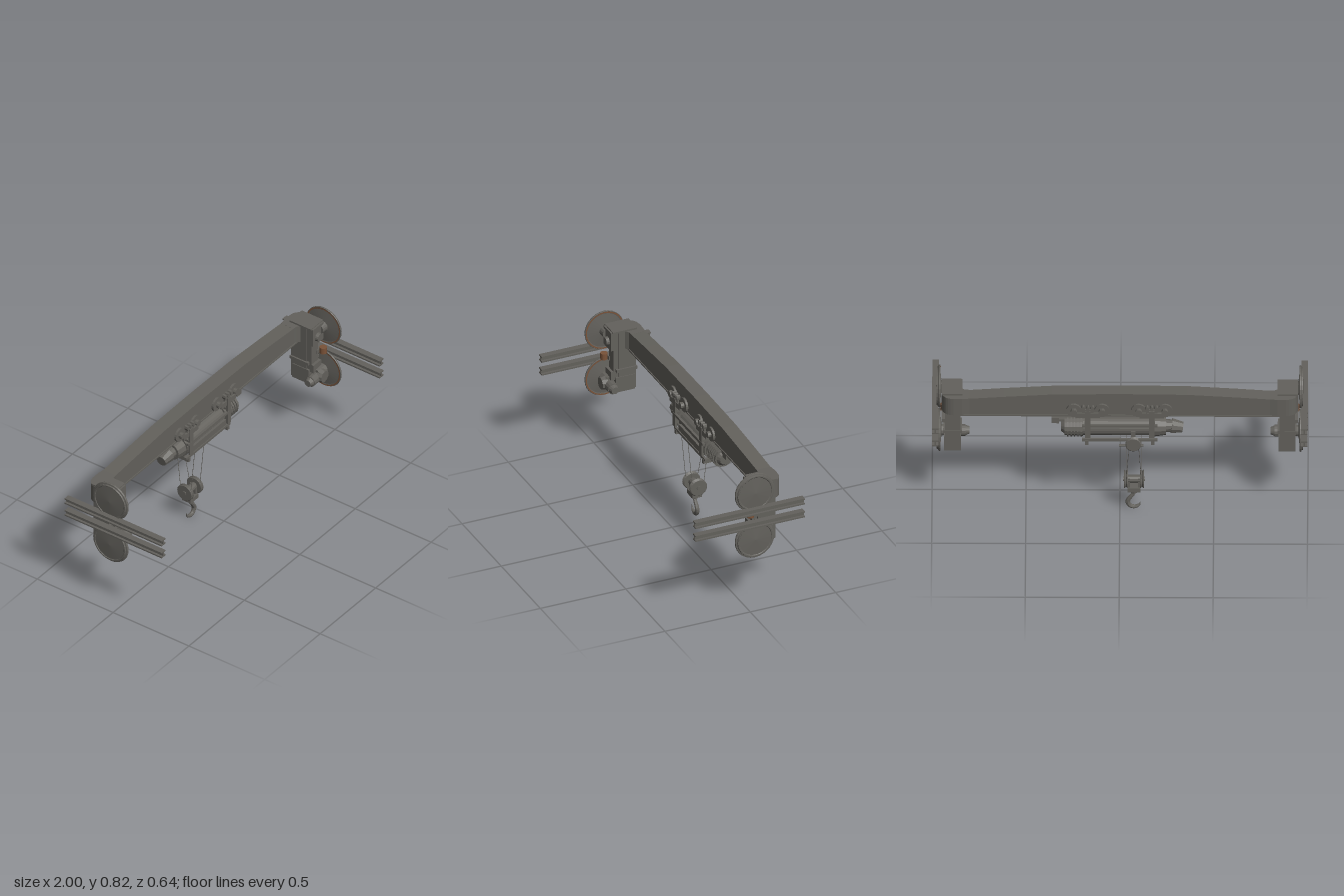
import * as THREE from 'three';

export function createModel() {
  const model = new THREE.Group();
  const mat = (name, color, side = THREE.FrontSide) => {
    const m = new THREE.MeshStandardMaterial({ color, side });
    m.name = name;
    m.flatShading = true;
    return m;
  };
  const steel = mat('weathered steel', 0x63615c);
  const rust = mat('rusty rim', 0x7a5238);

  const add = (parent, name, geo, x = 0, y = 0, z = 0, m = steel) => {
    const mesh = new THREE.Mesh(geo, m);
    mesh.name = name;
    mesh.position.set(x, y, z);
    parent.add(mesh);
    return mesh;
  };
  const box = (p, name, w, h, d, x, y, z, m) => add(p, name, new THREE.BoxGeometry(w, h, d), x, y, z, m);
  // Cylinder along a chosen axis; r2 is the radius at the positive end
  const cyl = (p, name, axis, r1, r2, len, x, y, z, n = 20, m = steel) => {
    const g = new THREE.CylinderGeometry(r2, r1, len, n);
    if (axis === 'x') g.rotateZ(-Math.PI / 2);
    if (axis === 'z') g.rotateX(Math.PI / 2);
    return add(p, name, g, x, y, z, m);
  };
  const lathe = (pts, n, axis) => {
    const g = new THREE.LatheGeometry(pts.map(p => new THREE.Vector2(...p)), n);
    if (axis === 'x') g.rotateZ(-Math.PI / 2);
    if (axis === 'z') g.rotateX(Math.PI / 2);
    return g;
  };
  const rod = (p, name, a, b, r) => {
    const path = new THREE.LineCurve3(new THREE.Vector3(...a), new THREE.Vector3(...b));
    return add(p, name, new THREE.TubeGeometry(path, 1, r, 5), 0, 0, 0);
  };
  const extrude = (shape, depth) => new THREE.ExtrudeGeometry(shape, { depth, bevelEnabled: false, curveSegments: 8 });

  // Main girder with a cambered top
  const side = new THREE.Shape();
  side.moveTo(-0.86, 0.635);
  side.lineTo(0.86, 0.635);
  side.lineTo(0.86, 0.735);
  side.lineTo(0.62, 0.752);
  side.lineTo(0.36, 0.768);
  side.lineTo(0, 0.772);
  side.lineTo(-0.36, 0.768);
  side.lineTo(-0.62, 0.752);
  side.lineTo(-0.86, 0.735);
  add(model, 'girder', extrude(side, 0.082), 0, 0, -0.21);
  box(model, 'girderBottomPlate', 1.7, 0.008, 0.092, 0, 0.634, -0.169);

  // Small I-section used by all four rails
  const railShape = new THREE.Shape();
  [[-0.0175, -0.018], [0.0175, -0.018], [0.0175, -0.01], [0.004, -0.01], [0.004, 0.01], [0.0175, 0.01],
    [0.0175, 0.018], [-0.0175, 0.018], [-0.0175, 0.01], [-0.004, 0.01], [-0.004, -0.01], [-0.0175, -0.01]]
    .forEach(([x, y], i) => (i ? railShape.lineTo(x, y) : railShape.moveTo(x, y)));

  // Plan outline of the curved girder end
  const bend = new THREE.Shape();
  bend.moveTo(0.84, 0.215);
  bend.lineTo(0.885, 0.215);
  bend.quadraticCurveTo(0.95, 0.21, 0.95, 0.14);
  bend.lineTo(0.95, 0.075);
  bend.lineTo(0.842, 0.075);
  bend.lineTo(0.842, 0.112);
  bend.lineTo(0.825, 0.126);
  bend.lineTo(0.80, 0.128);
  bend.lineTo(0.80, 0.21);

  // End carriages: built for the left side, turned into the right by mirrored x
  for (const s of [1, -1]) {
    const end = new THREE.Group();
    end.name = s > 0 ? 'leftEndCarriage' : 'rightEndCarriage';
    model.add(end);
    const bendGeo = extrude(bend, 0.105).rotateX(-Math.PI / 2);
    add(end, 'girderBend', bendGeo, 0, 0.635, 0);
    box(end, 'headBox', 0.095, 0.11, 0.05, 0.892, 0.69, -0.055);
    box(end, 'headCap', 0.11, 0.01, 0.14, 0.893, 0.745, -0.11);
    cyl(end, 'headBoss', 'z', 0.026, 0.022, 0.018, 0.885, 0.68, -0.022, 14);
    box(end, 'column', 0.082, 0.26, 0.1, 0.89, 0.51, -0.128);
    box(end, 'columnFoot', 0.09, 0.09, 0.11, 0.89, 0.42, -0.115);
    box(end, 'columnFrontPlate', 0.06, 0.13, 0.03, 0.885, 0.565, -0.065);
    box(end, 'columnCollar', 0.1, 0.018, 0.12, 0.89, 0.505, -0.122);

    // Domed flanged wheels above and below the rails
    for (const y of [0.706, 0.423]) {
      const w = [[0, -0.012], [0.03, -0.016], [0.1, -0.008], [0.113, -0.011], [0.115, -0.007],
        [0.113, 0], [0.105, 0.002], [0.103, 0.009], [0.096, 0.009], [0.093, 0.006], [0, 0.012]];
      add(end, 'railWheel', lathe(w, 28, 'x'), 0.966, y, -0.043);
      const ring = new THREE.RingGeometry(0.104, 0.111, 28).rotateY(-Math.PI / 2);
      add(end, 'wheelRustRing', ring, 0.954, y, -0.043, rust);
      cyl(end, 'wheelAxle', 'x', 0.028, 0.034, 0.05, 0.94, y, -0.043, 16);
    }

    // Travel drive on the lower wheel
    cyl(end, 'gearHousing', 'x', 0.042, 0.046, 0.06, 0.905, 0.423, -0.043, 12);
    cyl(end, 'driveMotor', 'x', 0.032, 0.032, 0.055, 0.85, 0.415, -0.035, 14);
    cyl(end, 'motorCap', 'x', 0.02, 0.028, 0.022, 0.812, 0.415, -0.035, 14);
    cyl(end, 'gearCover', 'z', 0.042, 0.034, 0.03, 0.9, 0.42, -0.008, 10);
    box(end, 'driveBracket', 0.07, 0.05, 0.05, 0.89, 0.475, -0.06);

    // Guide roller between the rails
    box(end, 'guideArm', 0.05, 0.022, 0.11, 0.925, 0.558, -0.1);
    cyl(end, 'guideRoller', 'y', 0.02, 0.02, 0.036, 0.935, 0.563, -0.03, 14, rust);

    for (const y of [0.604, 0.525]) {
      add(end, 'rail', extrude(railShape, 0.64), 0.9825, y, -0.32);
    }
    if (s < 0) mirrorX(end);
  }

  // Trolley: four wheels on each face of the girder, with hanger plates
  const trolley = new THREE.Group();
  trolley.name = 'trolley';
  model.add(trolley);
  for (const f of [1, -1]) {
    const z = d => -0.169 + f * d;
    for (const x of [-0.24, -0.1, 0.095, 0.245]) {
      cyl(trolley, 'trolleyWheel', 'z', 0.04, 0.04, 0.012, x, 0.674, z(0.052), 18);
      cyl(trolley, 'trolleyWheelHub', 'z', 0.018, 0.018, 0.03, x, 0.674, z(0.062), 10);
    }
    for (const x of [-0.17, 0.17]) {
      box(trolley, 'wheelYoke', 0.13, 0.03, 0.01, x, 0.655, z(0.072));
      box(trolley, 'hangerPlate', 0.03, 0.17, 0.012, x, 0.6, z(0.075));
      for (const i of [-1, 0, 1]) {
        const lug = cyl(trolley, 'hangerLug', 'z', 0.01, 0.01, 0.022, x + i * 0.025, 0.698, z(0.068), 8);
        lug.scale.y = 1.6;
      }
      box(trolley, 'lugStem', 0.06, 0.02, 0.01, x, 0.68, z(0.068));
    }
    box(trolley, 'sideBar', 0.4, 0.014, 0.014, 0, 0.59, z(0.075));
    box(trolley, 'lowerBar', 0.4, 0.014, 0.014, 0, 0.49, z(0.06));
  }

  // Hoist drum, gearbox and motor
  const hoist = new THREE.Group();
  hoist.name = 'hoist';
  model.add(hoist);
  const hy = 0.54, hz = -0.169;
  cyl(hoist, 'ropeDrum', 'x', 0.052, 0.052, 0.42, 0.02, hy, hz, 24);
  for (const x of [-0.175, 0.175]) {
    cyl(hoist, 'drumFlange', 'x', 0.064, 0.064, 0.016, x, hy, hz, 20);
    box(hoist, 'hangerCross', 0.024, 0.014, 0.15, x, 0.605, hz);
    box(hoist, 'hangerFoot', 0.018, 0.025, 0.14, x, 0.475, hz);
  }
  cyl(hoist, 'gearbox', 'x', 0.05, 0.058, 0.06, -0.215, hy, hz, 12);
  cyl(hoist, 'motorNeck', 'x', 0.032, 0.036, 0.05, -0.265, hy, hz, 12);
  const cap = cyl(hoist, 'endMotor', 'x', 0.03, 0.042, 0.06, -0.305, 0.535, hz, 10);
  cap.rotation.z = 0.15;
  cyl(hoist, 'motorBody', 'x', 0.056, 0.052, 0.1, 0.245, hy, hz, 14);
  for (let i = 0; i < 5; i++) cyl(hoist, 'coolingFin', 'x', 0.06, 0.06, 0.007, 0.205 + i * 0.018, hy, hz, 14);
  cyl(hoist, 'motorEnd', 'x', 0.045, 0.03, 0.02, 0.303, hy, hz, 14);
  box(hoist, 'controlArm', 0.06, 0.014, 0.03, 0.315, 0.582, hz);
  box(hoist, 'controlBox', 0.04, 0.034, 0.04, 0.343, 0.584, hz);
  box(hoist, 'frontCover', 0.3, 0.035, 0.014, 0.01, 0.52, -0.11);

  // Return sheave hanging behind the drum
  const sheave = [[0, -0.01], [0.038, -0.01], [0.042, -0.007], [0.034, 0], [0.042, 0.007], [0.038, 0.01], [0, 0.01]];
  add(hoist, 'returnSheave', lathe(sheave, 18, 'z'), -0.072, 0.468, -0.24);
  box(hoist, 'sheaveBracket', 0.025, 0.08, 0.01, -0.072, 0.5, -0.226);
  cyl(hoist, 'ropeGuide', 'x', 0.006, 0.006, 0.13, -0.06, 0.455, -0.232, 8);

  // Ropes
  for (const x of [-0.116, -0.034]) {
    rod(hoist, 'frontRope', [x, 0.52, -0.105], [x, 0.2, -0.135], 0.0016);
    rod(hoist, 'rearRope', [x * 0.6 - 0.03, 0.46, -0.24], [x, 0.2, -0.2], 0.0016);
  }

  // Hook block with two sheaves
  const block = new THREE.Group();
  block.name = 'hookBlock';
  model.add(block);
  const bx = -0.075, bz = -0.167;
  const blockWheel = [[0, -0.011], [0.046, -0.011], [0.05, -0.007], [0.042, 0], [0.05, 0.007], [0.046, 0.011], [0, 0.011]];
  for (const s of [-1, 1]) {
    add(block, 'blockSheave', lathe(blockWheel, 22, 'x'), bx + s * 0.043, 0.192, bz);
    cyl(block, 'sheaveHub', 'x', 0.013, 0.013, 0.032, bx + s * 0.043, 0.192, bz, 10);
    box(block, 'blockCheek', 0.01, 0.07, 0.04, bx + s * 0.026, 0.17, bz);
  }
  cyl(block, 'blockAxle', 'x', 0.022, 0.022, 0.07, bx, 0.192, bz, 12);
  box(block, 'crossHead', 0.07, 0.026, 0.056, bx, 0.136, bz);
  cyl(block, 'hookNut', 'y', 0.02, 0.024, 0.02, bx, 0.12, bz, 10);

  // Hook: tapered sweep along a curved path
  const path = new THREE.CatmullRomCurve3([[0.002, 0.125], [0.002, 0.1], [0.018, 0.078], [0.033, 0.05], [0.022, 0.022],
    [-0.004, 0.014], [-0.028, 0.026], [-0.036, 0.05]].map(([x, y]) => new THREE.Vector3(x, y, 0)));
  const hookGeo = new THREE.TubeGeometry(path, 24, 0.011, 8);
  const pos = hookGeo.attributes.position;
  const centre = new THREE.Vector3(), v = new THREE.Vector3();
  for (let i = 0; i < pos.count; i++) {
    const t = Math.floor(i / 9) / 24;
    path.getPointAt(t, centre);
    v.fromBufferAttribute(pos, i).sub(centre);
    v.multiplyScalar(t < 0.8 ? 0.75 + 0.4 * Math.sin(Math.PI * t / 0.9) : Math.max(0.02, (1 - t) * 4.6));
    pos.setXYZ(i, centre.x + v.x, centre.y + v.y, v.z);
  }
  hookGeo.computeVertexNormals();
  add(block, 'hook', hookGeo, bx, 0, bz);
  return model;
}

// Mirrors every mesh of a group across x, keeping faces outward
function mirrorX(group) {
  group.traverse(o => {
    if (!o.isMesh) return;
    o.updateMatrix();
    const g = o.geometry.index ? o.geometry.toNonIndexed() : o.geometry;
    g.applyMatrix4(o.matrix).scale(-1, 1, 1);
    for (const a of Object.values(g.attributes)) {
      const n = a.itemSize, d = a.array;
      for (let i = 0; i < a.count; i += 3) {
        for (let k = 0; k < n; k++) {
          const p = (i + 1) * n + k, q = (i + 2) * n + k;
          [d[p], d[q]] = [d[q], d[p]];
        }
      }
    }
    g.computeVertexNormals();
    o.geometry = g;
    o.position.set(0, 0, 0);
    o.rotation.set(0, 0, 0);
    o.scale.set(1, 1, 1);
  });
}
